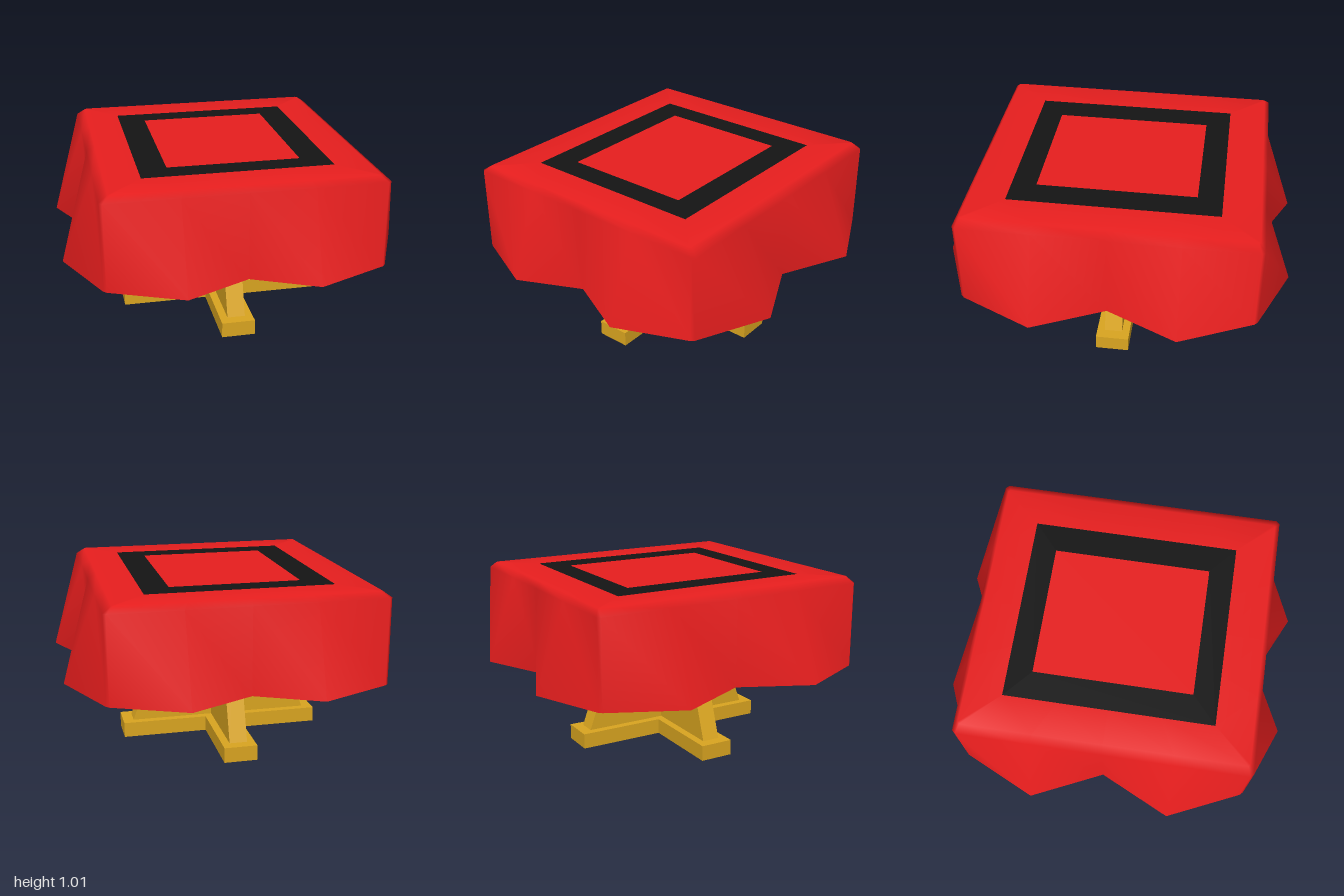
import * as THREE from 'three';

const TOP = 1.01;
const red = new THREE.MeshStandardMaterial({ color: 0xe81e1e, side: THREE.DoubleSide });
const black = new THREE.MeshStandardMaterial({ color: 0x141414, side: THREE.DoubleSide });
const gold = new THREE.MeshStandardMaterial({ color: 0xdaa520 });

function add(parent, name, geometry, material) {
  const mesh = new THREE.Mesh(geometry, material);
  mesh.name = name;
  parent.add(mesh);
  return mesh;
}

const polygon = (Type, pts) => new Type(pts.map(([x, y]) => new THREE.Vector2(x, y)));
const rect = (Type, x0, y0, x1, y1) => polygon(Type, [[x0, y0], [x1, y0], [x1, y1], [x0, y1]]);

// A closed ring of 20 points: a rectangle with cut corners and two folds per side
function ring({ y, hx, hz, cut = 0, foldX = 0, foldZ = 0 }) {
  const side = [[hx, 0], [hx + foldX, hz * 0.485], [hx, hz - cut], [hx - cut, hz], [hx * 0.462, hz + foldZ]];
  const back = [[0, hz], side[4], side[3], side[2], side[1]];
  const out = [];
  for (const [sx, sz, pts] of [[1, 1, side], [-1, 1, back], [-1, -1, side], [1, -1, back]]) {
    for (const [x, z] of pts) out.push([sx * x, y, sz * z]);
  }
  return out;
}

// Smooth surface through successive rings, from inside outward
function loft(rings) {
  const n = rings[0].length;
  const index = [];
  for (let r = 0; r < rings.length - 1; r++) {
    for (let i = 0; i < n; i++) {
      const j = (i + 1) % n;
      const a = r * n + i, a2 = r * n + j, b = a + n, b2 = a2 + n;
      index.push(a, a2, b, b, a2, b2);
    }
  }
  const g = new THREE.BufferGeometry();
  g.setAttribute('position', new THREE.Float32BufferAttribute(rings.flat(2), 3));
  g.setIndex(index);
  g.computeVertexNormals();
  return g;
}

export function createModel() {
  const model = new THREE.Group();
  model.name = 'clothCoveredTable';

  // Tablecloth: flat rim, small bevel, then walls flaring into folds at the hem
  const cloth = new THREE.Group();
  cloth.name = 'tablecloth';
  model.add(cloth);
  add(cloth, 'clothDrape', loft([
    ring({ y: TOP, hx: 0.535, hz: 0.59 }),
    ring({ y: TOP, hx: 0.73, hz: 0.8, cut: 0.01 }),
    ring({ y: 0.975, hx: 0.78, hz: 0.828, cut: 0.018 }),
    ring({ y: 0.48, hx: 0.78, hz: 0.83, cut: 0.018, foldX: 0.188, foldZ: 0.17 }),
  ]), red);

  // Black border and red centre panel, flush with the top
  const border = rect(THREE.Shape, -0.535, -0.59, 0.535, 0.59);
  border.holes.push(rect(THREE.Path, -0.377, -0.45, 0.377, 0.45));
  const flat = (g) => g.rotateX(-Math.PI / 2).translate(0, TOP, 0);
  add(cloth, 'clothBorder', flat(new THREE.ShapeGeometry(border)), black);
  add(cloth, 'clothCentre', flat(new THREE.PlaneGeometry(0.754, 0.9)), red);

  // Pedestal: cross-shaped foot with a slot under each arm
  const pedestal = new THREE.Group();
  pedestal.name = 'pedestal';
  model.add(pedestal);
  const L = 0.603, w = 0.097;
  const foot = polygon(THREE.Shape, [
    [L, -w], [L, w], [w, w], [w, L], [-w, L], [-w, w],
    [-L, w], [-L, -w], [-w, -w], [-w, -L], [w, -L], [w, -w],
  ]);
  for (const s of [-1, 1]) {
    const [near, far] = s > 0 ? [0.1, 0.54] : [-0.54, -0.1];
    foot.holes.push(rect(THREE.Path, near, -0.05, far, 0.05));
    foot.holes.push(rect(THREE.Path, -0.05, near, 0.05, far));
  }
  const footGeometry = new THREE.ExtrudeGeometry(foot, { depth: 0.09, bevelEnabled: false });
  add(pedestal, 'crossFoot', footGeometry.rotateX(-Math.PI / 2), gold);

  // Two crossing tapered boards
  const board = polygon(THREE.Shape, [[-0.54, 0.09], [0.54, 0.09], [0.25, 0.9], [-0.25, 0.9]]);
  for (const [name, turn] of [['boardAcross', 0], ['boardAlong', Math.PI / 2]]) {
    const g = new THREE.ExtrudeGeometry(board, { depth: 0.104, bevelEnabled: false });
    add(pedestal, name, g.translate(0, 0, -0.052).rotateY(turn), gold);
  }

  return model;
}
